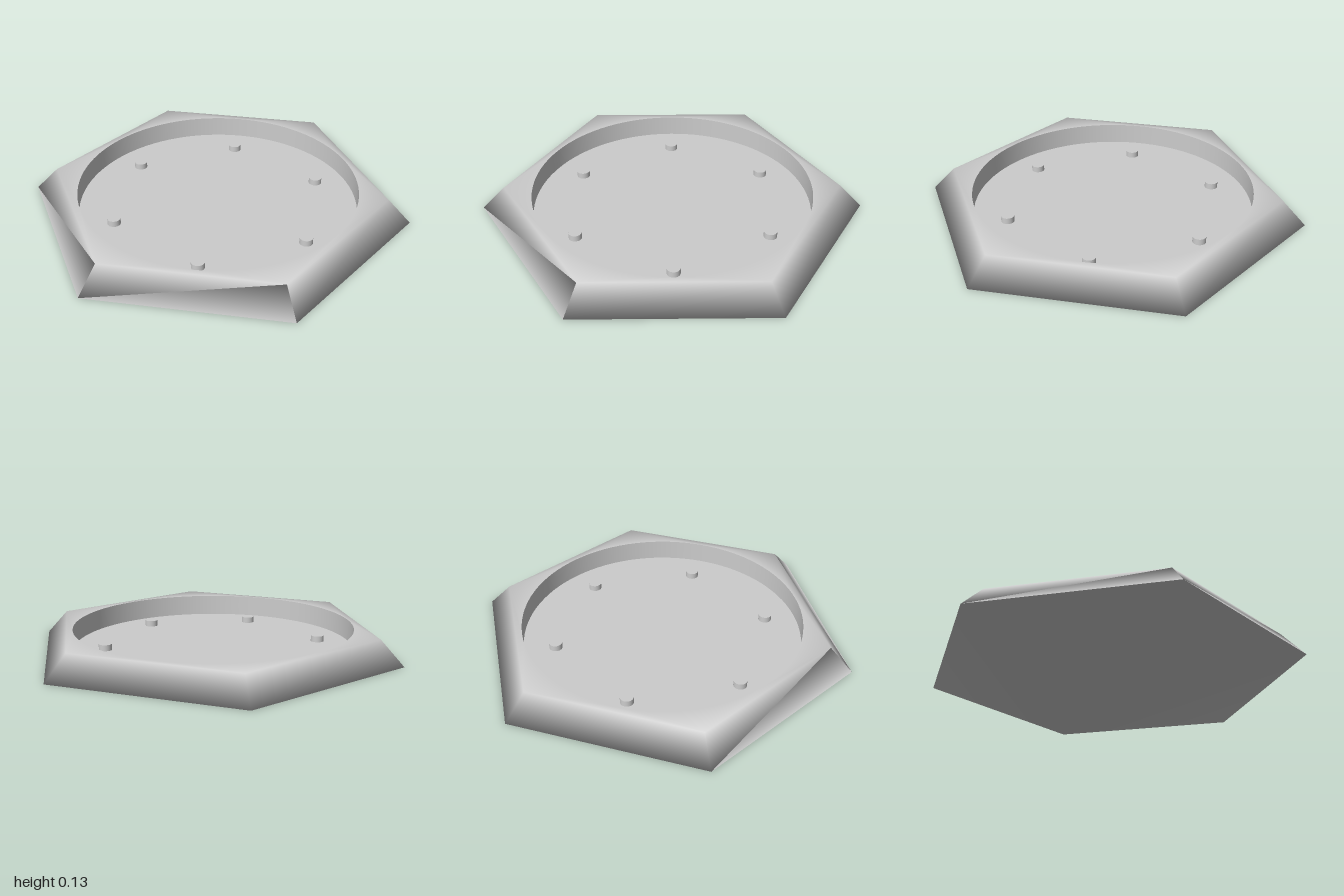
import * as THREE from 'three';

const HEIGHT = 0.127, FLOOR = 0.015, RECESS = 0.73;
const grey = new THREE.MeshStandardMaterial({ color: 0xcccccc });
grey.name = 'grey';

// Points around the y axis, counter-clockwise seen from above (2D: x, -z)
function ring(radius, count, start) {
  return Array.from({ length: count }, (_, i) => {
    const a = start + (i / count) * Math.PI * 2;
    return new THREE.Vector2(radius * Math.cos(a), radius * Math.sin(a));
  });
}

// Smooth-shaded hexagonal body: bottom, sloping sides and a top with a round hole
function bodyGeometry() {
  const bottom = ring(1, 6, Math.PI / 6);
  const top = ring(0.88, 6, Math.PI / 6);
  const hole = ring(RECESS, 96, 0).reverse();
  const positions = [], index = [];
  const add = (points, y) => points.forEach((p) => positions.push(p.x, y, -p.y));
  add(bottom, 0);
  add(top, HEIGHT);
  add(hole, HEIGHT);
  for (let i = 0; i < 6; i++) {
    const j = (i + 1) % 6;
    index.push(i, j, 6 + j, i, 6 + j, 6 + i);
  }
  for (let i = 1; i < 5; i++) index.push(0, i + 1, i);
  for (const t of THREE.ShapeUtils.triangulateShape(top, [hole])) {
    index.push(...t.map((v) => v + 6));
  }
  const geometry = new THREE.BufferGeometry();
  geometry.setAttribute('position', new THREE.Float32BufferAttribute(positions, 3));
  geometry.setIndex(index);
  geometry.computeVertexNormals();
  return geometry;
}

export function createModel() {
  const model = new THREE.Group();
  model.name = 'hexagonalTray';
  const add = (name, geometry) => {
    const mesh = new THREE.Mesh(geometry, grey);
    mesh.name = name;
    model.add(mesh);
    return mesh;
  };

  add('hexagonalBody', bodyGeometry());

  // Round recess; the profile runs downwards so the wall faces inwards
  add('recessWall', new THREE.LatheGeometry(
    [new THREE.Vector2(RECESS, HEIGHT), new THREE.Vector2(RECESS, FLOOR)], 96));
  add('recessFloor', new THREE.CircleGeometry(RECESS, 96).rotateX(-Math.PI / 2))
    .position.y = FLOOR;

  // Six small pegs standing on the floor
  const pegHeight = 0.032;
  const peg = new THREE.CylinderGeometry(0.034, 0.034, pegHeight, 32);
  ring(0.566, 6, 0).forEach((p) => {
    add('peg', peg).position.set(p.x, FLOOR + pegHeight / 2, -p.y);
  });
  return model;
}
